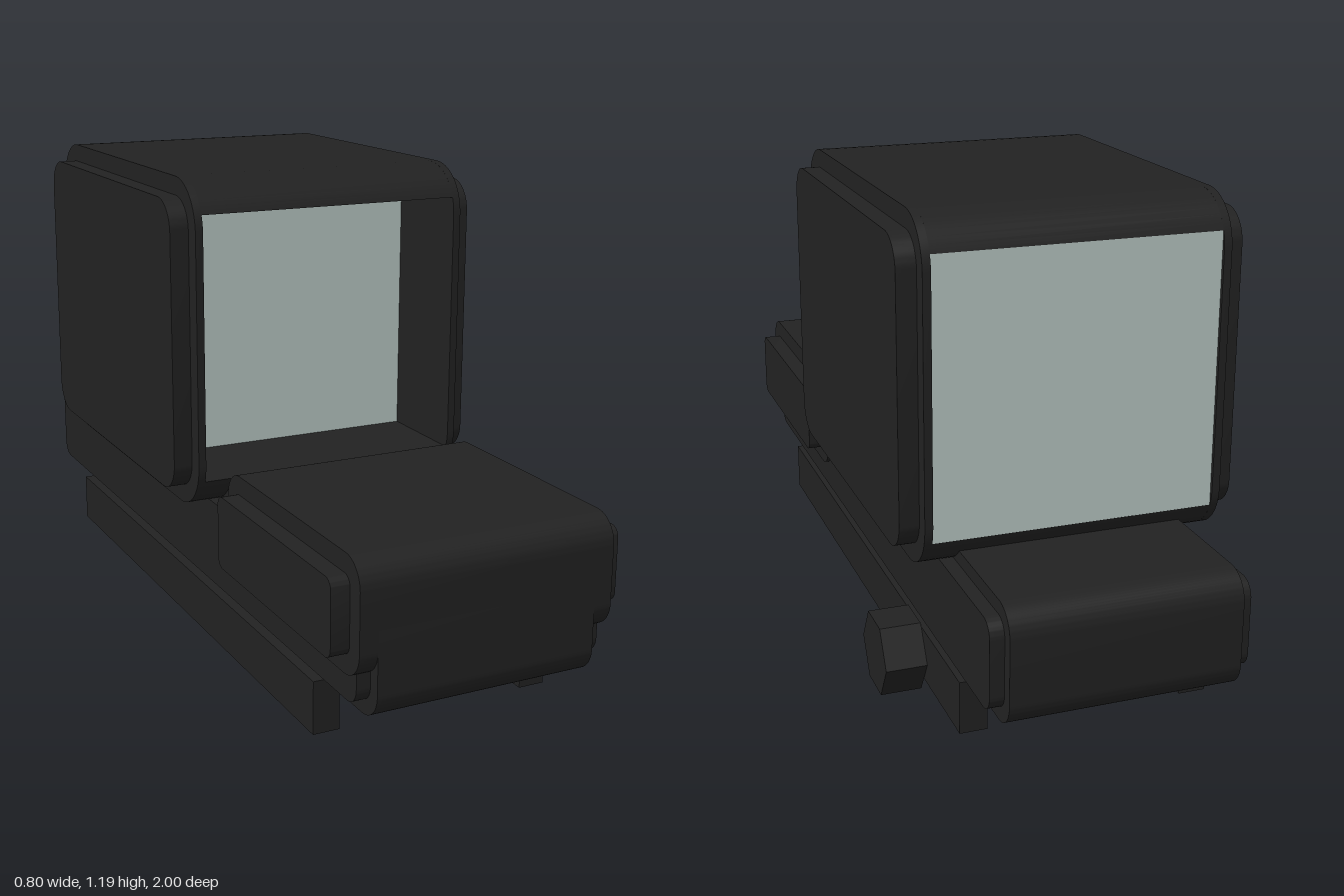
import * as THREE from 'three';
import { toCreasedNormals } from 'three/addons/utils/BufferGeometryUtils.js';

const black = new THREE.MeshStandardMaterial({ color: 0x222222 });
black.name = 'matte black';
const lens = new THREE.MeshStandardMaterial({ color: 0xb9c8c4 });
lens.name = 'pale lens glass';

// Side profile with rounded corners, drawn with shape x = -z
function roundedProfile(z0, z1, y0, y1, r) {
  const a = -z1, b = -z0, s = new THREE.Shape();
  s.absarc(b - r, y0 + r, r, -Math.PI / 2, 0);
  s.absarc(b - r, y1 - r, r, 0, Math.PI / 2);
  s.absarc(a + r, y1 - r, r, Math.PI / 2, Math.PI);
  s.absarc(a + r, y0 + r, r, Math.PI, Math.PI * 1.5);
  s.closePath();
  return s;
}

// Extrude a side profile across the model from x0 to x1
function slab(shape, x0, x1) {
  const g = new THREE.ExtrudeGeometry(shape, { depth: x1 - x0, bevelEnabled: false, curveSegments: 8 });
  g.rotateY(Math.PI / 2).translate(x0, 0, 0);
  return toCreasedNormals(g, 0.6);
}

export function createModel() {
  const model = new THREE.Group();
  model.name = 'reflexSight';

  const add = (name, geometry, material = black) => {
    const mesh = new THREE.Mesh(geometry, material);
    mesh.name = name;
    model.add(mesh);
    return mesh;
  };
  const box = (name, size, pos, material) =>
    add(name, new THREE.BoxGeometry(...size), material).position.set(...pos);
  const pair = (name, shape, x0, x1) => {
    add(name + 'Left', slab(shape, x0, x1));
    add(name + 'Right', slab(shape, -x1, -x0));
  };

  // Long base with raised side panels
  add('baseBody', slab(roundedProfile(-1, 1, 0.157, 0.433, 0.065), -0.267, 0.267));
  pair('basePanel', roundedProfile(-0.97, 0.97, 0.19, 0.4, 0.04), 0.267, 0.3);

  // Battery housing on the front of the base
  add('batteryHousing', slab(roundedProfile(0.338, 1, 0.256, 0.522, 0.065), -0.31, 0.31));
  pair('batteryPanel', roundedProfile(0.378, 0.957, 0.3, 0.477, 0.025), 0.31, 0.354);

  // Hood: two side walls with raised panels, joined by roof and floor
  const z0 = -0.707, z1 = 0.266, y0 = 0.39, y1 = 1.19, r = 0.12, wall = 0.078;
  pair('hoodWall', roundedProfile(z0, z1, y0, y1, r), 0.335, 0.354);
  pair('hoodPanel', roundedProfile(-0.668, 0.223, 0.435, 1.145, 0.075), 0.354, 0.4);
  const start = Math.asin((r - wall) / r);
  for (const [name, base, s] of [['hoodRoof', y1, 1], ['hoodFloor', y0, -1]]) {
    const points = [];
    for (const [cx, from, to] of [[-z0 - r, start, Math.PI / 2], [-z1 + r, Math.PI / 2, Math.PI - start]]) {
      for (let i = 0; i <= 8; i++) {
        const a = from + (to - from) * i / 8;
        points.push(new THREE.Vector2(cx + r * Math.cos(a), base - s * r + s * r * Math.sin(a)));
      }
    }
    add(name, slab(new THREE.Shape(points), -0.335, 0.335));
  }

  // Front and rear lens panes inside the hood
  const lensHeight = y1 - y0 - 2 * wall;
  for (const [name, z] of [['frontLens', 0], ['rearLens', -0.695]]) {
    box(name, [0.67, lensHeight, 0.008], [0, (y0 + y1) / 2, z], lens);
  }

  // Clamp rails under the base
  box('railLeft', [0.065, 0.127, 1.554], [0.2675, 0.1015, 0], black);
  box('railRight', [0.065, 0.127, 1.554], [-0.2695, 0.1015, 0], black);

  // Six-sided clamp knob
  const knob = add('clampKnob', new THREE.CylinderGeometry(0.1, 0.1, 0.1, 6).toNonIndexed());
  knob.geometry.computeVertexNormals();
  knob.rotation.z = -Math.PI / 2;
  knob.position.set(0.35, 0.0866, -0.442);

  return model;
}
